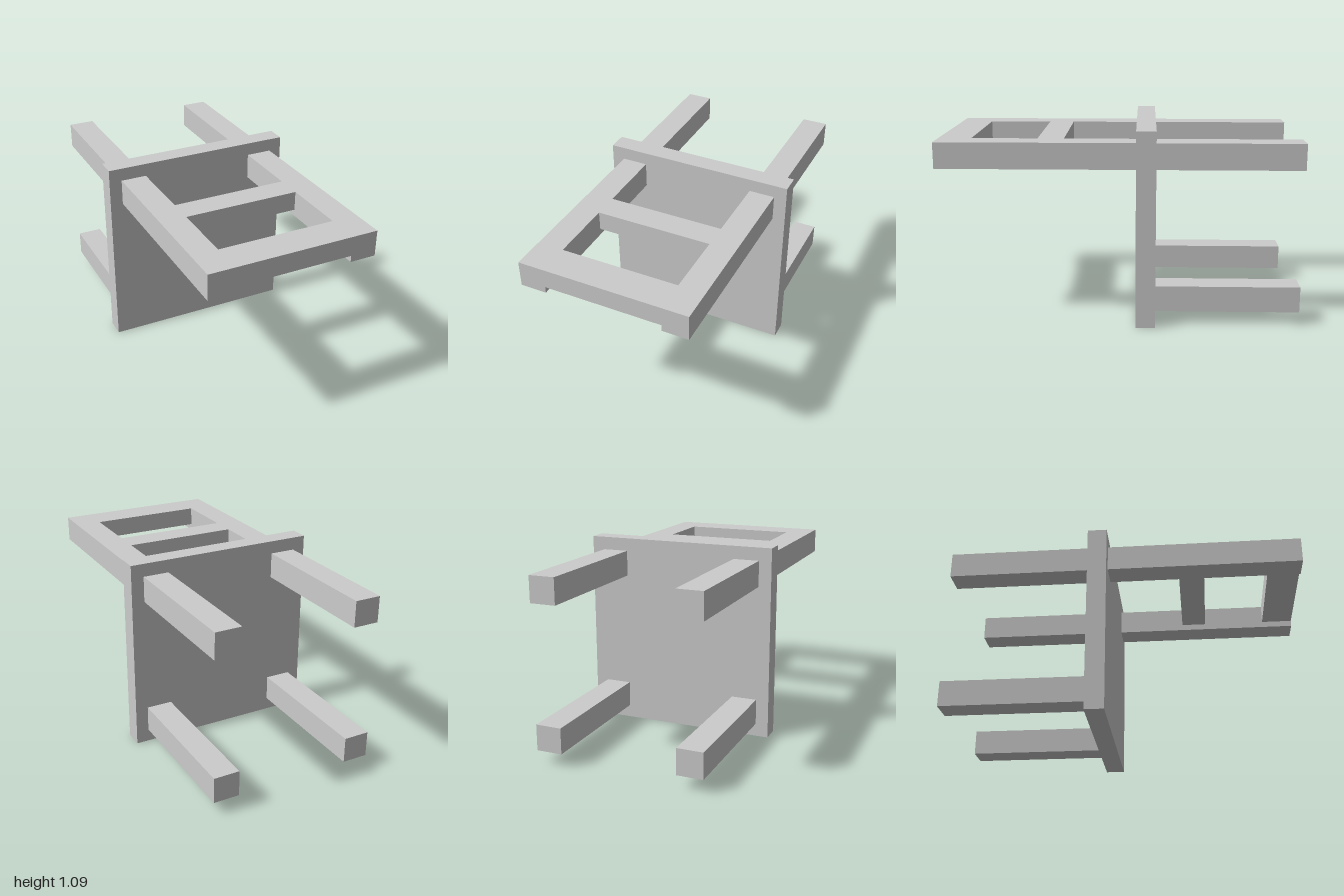
import * as THREE from 'three';

const material = new THREE.MeshStandardMaterial({ color: 0xcccccc, flatShading: true });

// Box given by its extents along each axis
function block(name, [x0, x1], [y0, y1], [z0, z1]) {
  const mesh = new THREE.Mesh(new THREE.BoxGeometry(x1 - x0, y1 - y0, z1 - z0), material);
  mesh.position.set((x0 + x1) / 2, (y0 + y1) / 2, (z0 + z1) / 2);
  mesh.name = name;
  return mesh;
}

// A chair tipped over: seat upright, legs towards -z, backrest towards +z
export function createModel() {
  const chair = new THREE.Group();
  chair.name = 'chair';

  const seatBack = -0.2, seatFront = -0.092;
  const lowY = [0.073, 0.218], highY = [0.873, 1.018];
  const railY = [0.909, 1.018];

  chair.add(block('seat', [-0.545, 0.545], [0, 1.091], [seatBack, seatFront]));

  // Legs and backrest posts, mirrored left and right
  for (const [side, x] of [['left', [0.327, 0.473]], ['right', [-0.473, -0.327]]]) {
    chair.add(block(side + 'FrontLeg', x, lowY, [-1, seatBack]));
    chair.add(block(side + 'BackLeg', x, highY, [-1, seatBack]));
    chair.add(block(side + 'BackPost', x, highY, [seatFront, 1]));
  }

  // Backrest rails between the posts
  chair.add(block('middleRail', [-0.327, 0.327], railY, [0.306, 0.452]));
  chair.add(block('topRail', [-0.327, 0.327], railY, [0.817, 1]));

  return chair;
}
